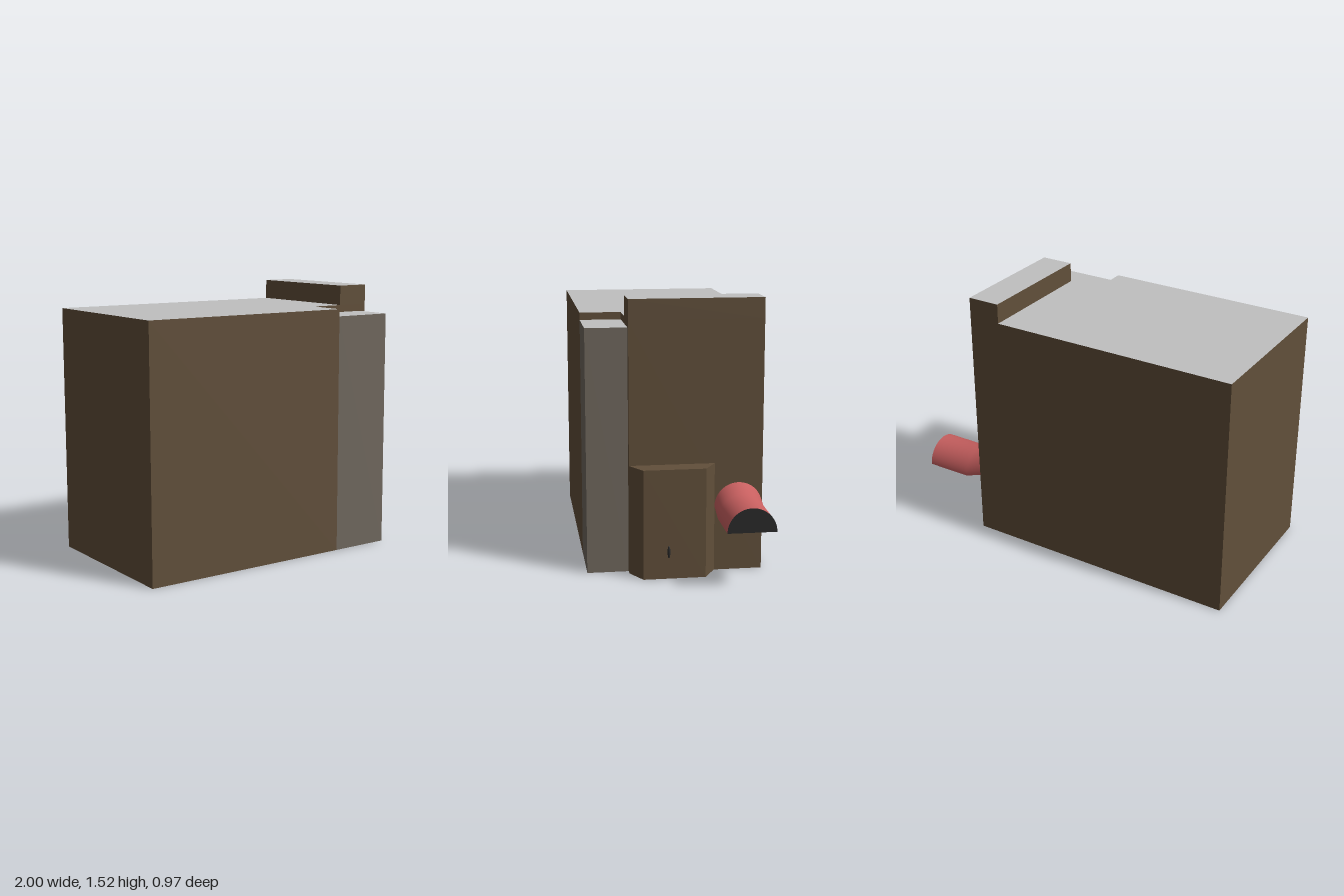
import * as THREE from 'three';
import { toCreasedNormals } from 'three/addons/utils/BufferGeometryUtils.js';

const material = (name, color) => {
  const m = new THREE.MeshStandardMaterial({ color });
  m.name = name;
  return m;
};

export function createModel() {
  const brown = material('brown wall', 0x614f3a);
  const grey = material('roof grey', 0xc0c0c0);
  const stone = material('stone grey', 0x70685e);
  const red = material('awning red', 0xc75f5f);
  const charcoal = material('charcoal', 0x292929);

  const model = new THREE.Group();
  model.name = 'building';

  // Upright prism over an [x, z] footprint, with its own top, bottom and side materials
  function prism(name, footprint, y0, y1, side, top, bottom) {
    const shape = new THREE.Shape(footprint.map(([x, z]) => new THREE.Vector2(x, -z)));
    const geo = new THREE.ExtrudeGeometry(shape, { depth: y1 - y0, bevelEnabled: false });
    geo.rotateX(-Math.PI / 2).translate(0, y0, 0);
    const [caps, walls] = geo.groups.map((g) => ({ ...g }));
    geo.clearGroups();
    geo.addGroup(0, caps.count / 2, 2);
    geo.addGroup(caps.count / 2, caps.count / 2, 1);
    geo.addGroup(walls.start, walls.count, 0);
    const mesh = new THREE.Mesh(geo, [side, top, bottom]);
    mesh.name = name;
    model.add(mesh);
  }
  const rect = (x0, x1, z0, z1) => [[x0, z1], [x1, z1], [x1, z0], [x0, z0]];

  const back = -0.485, front = 0.485, notch = 0.255, wall = 0.623;

  // Main block with a notched front corner
  prism('mainBlock', [[-1, front], [0.239, front], [0.239, notch], [wall, notch],
    [wall, back], [-1, back]], 0, 1.403, brown, grey, grey);
  // Raised parapet along the side wall
  prism('parapet', rect(0.433, wall, back, notch), 1.403, 1.517, brown, grey, grey);
  // Stone corner tower filling the notch
  prism('cornerTower', rect(0.239, 0.586, notch, front), 0, 1.362, stone, grey, grey);
  // Low bay with slanted cheeks
  prism('bay', [[wall, notch], [0.736, 0.19], [0.736, -0.152], [wall, -0.218]],
    0, 0.612, brown, brown, grey);

  // Half-round awning; it steps up where it meets the wall
  const radius = 0.133;
  const half = new THREE.Shape();
  half.absarc(0, 0, radius, 0, Math.PI, false);
  const awningGeo = new THREE.ExtrudeGeometry(half, {
    depth: 2, steps: 2, bevelEnabled: false, curveSegments: 20,
  });
  const stations = [[wall, 0.366], [0.73, 0.327], [1, 0.327]];
  const pos = awningGeo.attributes.position;
  for (let i = 0; i < pos.count; i++) {
    const [x, y] = stations[Math.round(pos.getZ(i))];
    pos.setXYZ(i, x, y + pos.getY(i), -0.351 - pos.getX(i));
  }
  const awning = new THREE.Mesh(toCreasedNormals(awningGeo, 0.5), [charcoal, red]);
  awning.name = 'awning';
  model.add(awning);

  // Small handle on the bay
  const handle = new THREE.Mesh(new THREE.SphereGeometry(1, 12, 8), charcoal);
  handle.name = 'handle';
  handle.scale.set(0.006, 0.036, 0.008);
  handle.position.set(0.736, 0.152, 0.051);
  model.add(handle);

  return model;
}
